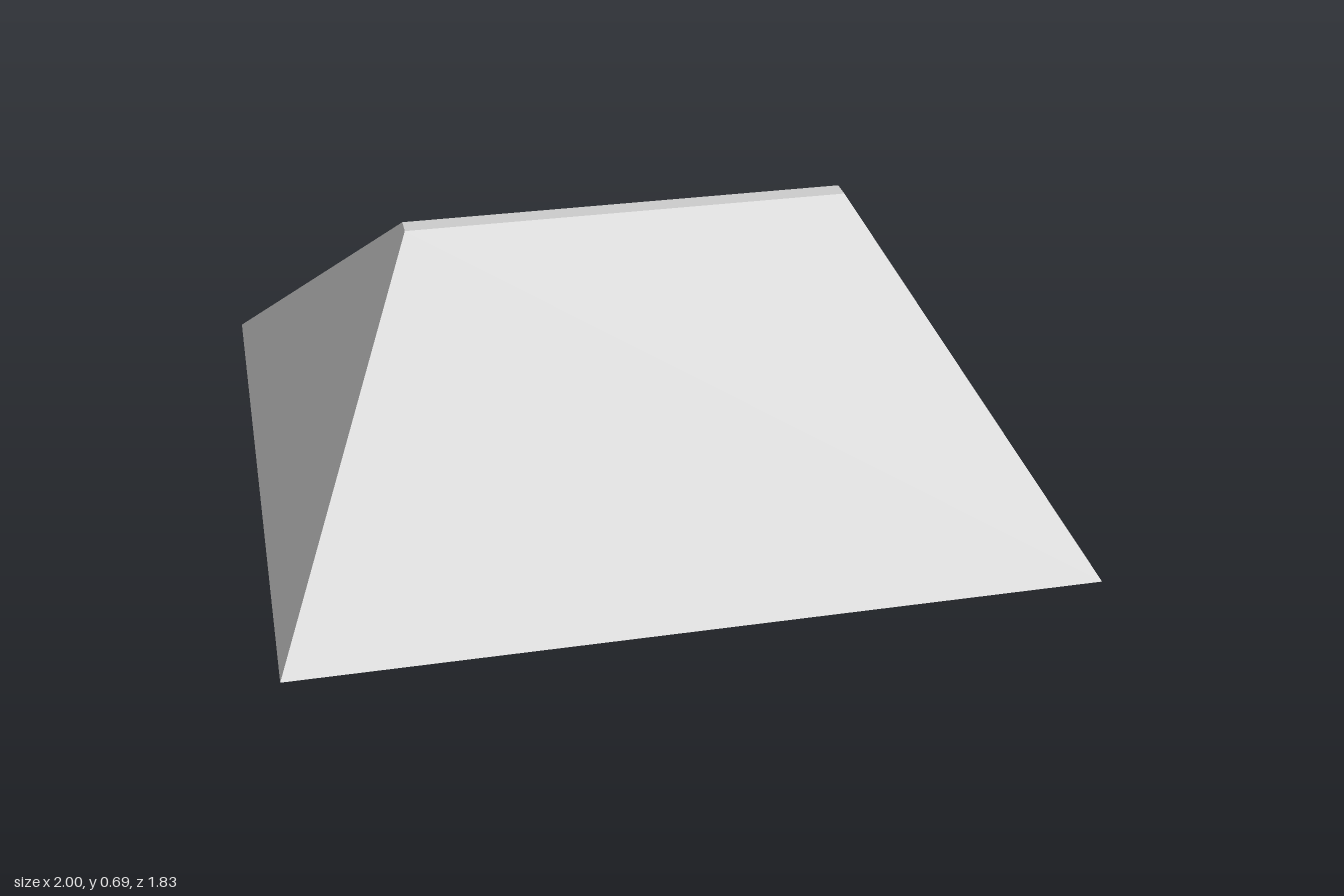
import * as THREE from 'three';

export function createModel() {
  const model = new THREE.Group();
  model.name = 'hipRoof';
  const grey = new THREE.MeshStandardMaterial({ color: 0xcccccc });
  grey.name = 'plain grey';

  function box(parent, name, size, pos) {
    const mesh = new THREE.Mesh(new THREE.BoxGeometry(...size), grey);
    mesh.name = name;
    mesh.position.set(...pos);
    parent.add(mesh);
    return mesh;
  }

  // Hollow roof shell: rectangular loops [y, half x, half z] running from the
  // ridge down the outside, across the soffit and up the inside
  const loops = [
    [0.695, 0.58, 0.028], [0, 1, 0.917],
    [0, 0.97, 0.69], [0.15, 0.879, 0.69], [0.665, 0.567, 0.03],
  ].map(([y, x, z]) => [[x, y, z], [x, y, -z], [-x, y, -z], [-x, y, z]]);
  const verts = [];
  const quad = (a, b, c, d) => verts.push(...a, ...b, ...c, ...a, ...c, ...d);
  quad(...loops[0]);
  for (let k = 0; k + 1 < loops.length; k++) {
    for (let i = 0; i < 4; i++) {
      const j = (i + 1) % 4;
      quad(loops[k][i], loops[k + 1][i], loops[k + 1][j], loops[k][j]);
    }
  }
  quad(...loops[loops.length - 1].slice().reverse());
  const shellGeometry = new THREE.BufferGeometry();
  shellGeometry.setAttribute('position', new THREE.Float32BufferAttribute(verts, 3));
  shellGeometry.computeVertexNormals();
  const shell = new THREE.Mesh(shellGeometry, grey);
  shell.name = 'roofShell';
  model.add(shell);

  // Timbers under each long slope; local -z runs up the slope
  const pitch = Math.atan2(0.515, 0.66);
  for (const side of [0, 1]) {
    const half = new THREE.Group();
    half.name = side ? 'backFraming' : 'frontFraming';
    half.rotation.y = side * Math.PI;
    model.add(half);
    const slope = new THREE.Group();
    slope.name = 'slopeTimbers';
    slope.position.set(0, 0.15, 0.69);
    slope.rotation.x = pitch;
    half.add(slope);

    for (let i = 0; i < 6; i++) {
      box(slope, 'commonRafter', [0.035, 0.025, 0.76], [-0.55 + i * 0.22, -0.0125, -0.41]);
    }
    box(slope, 'lowerPurlin', [1.65, 0.035, 0.045], [0, -0.0425, -0.17]);
    box(slope, 'upperPurlin', [1.44, 0.035, 0.045], [0, -0.0425, -0.449]);
    for (const x of [-0.47, 0.47]) {
      box(slope, 'principalRafter', [0.04, 0.042, 0.88], [x, -0.081, -0.375]);
    }
  }

  // Collar beam and king post of each truss
  for (const x of [-0.47, 0.47]) {
    box(model, 'collarBeam', [0.04, 0.04, 0.64], [x, 0.355, 0]);
    box(model, 'kingPost', [0.035, 0.29, 0.035], [x, 0.51, 0]);
  }
  return model;
}
